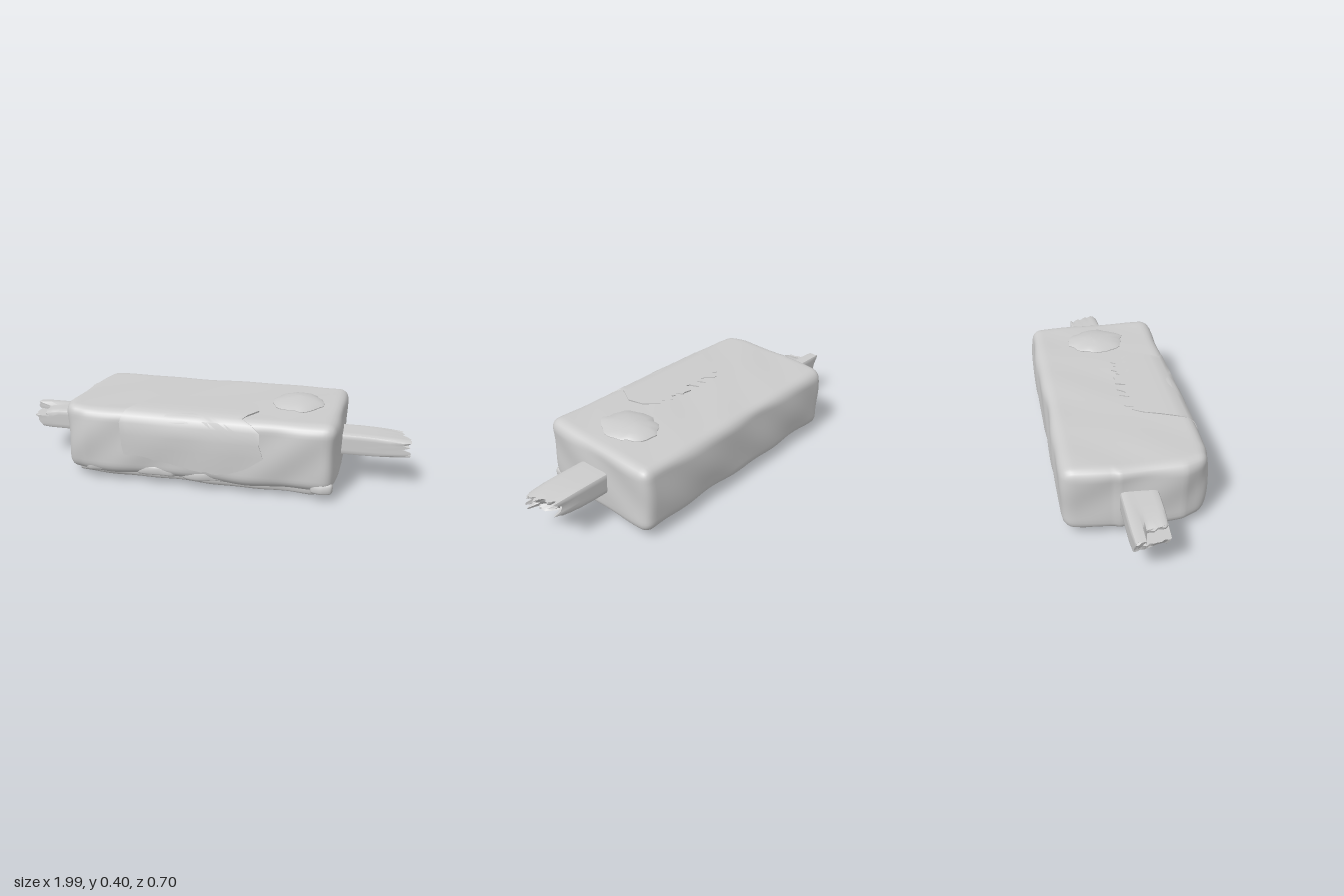
import * as THREE from 'three';
import { mergeVertices, toCreasedNormals } from 'three/addons/utils/BufferGeometryUtils.js';

const material = new THREE.MeshStandardMaterial({ color: 0xcccccc });
const shell = new THREE.MeshStandardMaterial({ color: 0xcccccc, side: THREE.DoubleSide });

// Smooth bumps, about -1..1
const bumps = (x, y, z) =>
  (Math.sin(x * 9 + z * 5 + 1) * Math.cos(z * 11 - y * 8) + Math.sin(x * 19 - y * 23 + z * 14) * 0.6) / 1.6;

// Jagged value, 0..1
const jag = (i) => {
  const s = Math.sin(i * 12.9898 + 4.1) * 43758.5453;
  return s - Math.floor(s);
};

// Subdivided box with rounded edges; rule(p, normal) then moves each vertex
function roughBlock(name, min, max, segs, radius, rule, crease) {
  const size = max.map((m, i) => m - min[i]);
  let geo = new THREE.BoxGeometry(...size, ...segs);
  geo.deleteAttribute('uv');
  geo.deleteAttribute('normal');
  geo = mergeVertices(geo);
  const pos = geo.attributes.position;
  const half = new THREE.Vector3(...size).multiplyScalar(0.5).subScalar(radius);
  const centre = new THREE.Vector3(...min).add(new THREE.Vector3(...max)).multiplyScalar(0.5);
  for (let i = 0; i < pos.count; i++) {
    const p = new THREE.Vector3().fromBufferAttribute(pos, i);
    const inner = p.clone().clamp(half.clone().negate(), half);
    const n = p.clone().sub(inner).normalize();
    p.copy(inner).addScaledVector(n, radius).add(centre);
    rule(p, n);
    pos.setXYZ(i, p.x, p.y, p.z);
  }
  geo.computeVertexNormals();
  const mesh = new THREE.Mesh(crease ? toCreasedNormals(geo, crease) : geo, material);
  mesh.name = name;
  return mesh;
}

// Surface through rows of points, each row an array of Vector3
function loft(name, rows, crease) {
  const cols = rows[0].length;
  const index = [];
  for (let r = 0; r < rows.length - 1; r++) {
    for (let c = 0; c < cols - 1; c++) {
      const a = r * cols + c;
      index.push(a, a + 1, a + cols, a + 1, a + cols + 1, a + cols);
    }
  }
  const geo = new THREE.BufferGeometry().setFromPoints(rows.flat());
  geo.setIndex(index);
  geo.computeVertexNormals();
  const mesh = new THREE.Mesh(toCreasedNormals(geo, crease), shell);
  mesh.name = name;
  return mesh;
}

// Linear interpolation through evenly spaced values
function sample(values, t) {
  const f = Math.min(t, 0.9999) * (values.length - 1);
  const i = Math.floor(f);
  return THREE.MathUtils.lerp(values[i], values[i + 1], f - i);
}

// Worn main block, with skewed ends and slightly bulging sides
function makeBody() {
  return roughBlock('body', [-0.68, 0.045, -0.335], [0.67, 0.372, 0.33], [68, 22, 36], 0.048, (p, n) => {
    const { x, y, z } = p;
    const top = Math.max(n.y, 0);
    p.addScaledVector(n, bumps(x, y, z) * (0.009 - 0.006 * top));
    // left end slants to the back, right end to the front
    if (x < -0.4) p.x += ((-0.4 - x) / 0.28) * (z < -0.1 ? (-0.1 - z) * 0.13 : -0.008);
    if (x > 0.4) p.x -= ((x - 0.4) / 0.27) * Math.max(z, 0) * 0.06;
    // worn front left corner
    const corner = Math.max(0, -x - 0.55) * Math.max(0, z - 0.2);
    p.x += corner * 2.2;
    p.z -= corner * 1.6;
    // sides fullest at mid height
    p.z += Math.sign(z) * 0.01 * Math.cos((y - 0.21) * 9) * Math.abs(n.z);
    // sagging lower edges at the ends
    if (y < 0.1 && Math.abs(x) > 0.5) p.y -= 0.012 * Math.cos(z * 5);
  });
}

// Thinner slab under the block
function makeBase() {
  return roughBlock('baseSlab', [-0.62, 0.008, -0.275], [0.57, 0.11, 0.283], [48, 8, 24], 0.014, (p, n) => {
    const { x, y, z } = p;
    p.addScaledVector(n, bumps(x * 1.3, y, z + 2) * 0.005);
    p.y += 0.008 * ((0.57 - x) / 1.19) * (n.y < 0 ? 1 : 0);
    p.z *= 0.96 + (y - 0.008) * 0.5;
  });
}

// Split stick through the block, splintered at both ends
function makeStick() {
  return roughBlock('stick', [-1, 0.152, -0.085], [1, 0.258, 0.085], [24, 8, 10], 0.016, (p, n) => {
    const { x, y, z } = p;
    const splinter = jag(Math.round(y * 75) * 7 + Math.round(z * 60) * 3);
    const outer = Math.max(0, Math.abs(x) - 0.8) / 0.2;
    if (x < 0) {
      // slanted break with a shorter upper half at the front
      const cut = Math.max(0, 0.235 - y) * 0.65 + (z + 0.085) * 0.2 + splinter * 0.015;
      p.x += outer * (cut + (z > -0.02 && y > 0.225 ? 0.07 : 0));
      p.y -= outer * (z > -0.02 && y > 0.23 ? 0.014 : 0);
      p.z -= 0.01 * Math.abs(x);
    } else {
      // hollow, toothed break
      const hollow = Math.max(0, 1 - Math.hypot((y - 0.2) / 0.055, (z + 0.02) / 0.07));
      p.x -= outer * (splinter * 0.06 + hollow * 0.08 + (z < 0 ? 0.025 : 0));
      p.y += outer * (0.205 - y) * 0.2;
      p.z += outer * 0.006;
    }
  }, 0.7);
}

// Cracked crust wrapped over the front upper edge
function makeCrust() {
  const profile = [[0.14, 0.346], [0.2, 0.349], [0.26, 0.349], [0.32, 0.343], [0.352, 0.329],
    [0.372, 0.3], [0.3775, 0.25], [0.378, 0.18], [0.377, 0.1], [0.377, 0.04]];
  const left = [-0.35, -0.36, -0.365, -0.37, -0.36, -0.35, -0.33, -0.3, -0.27, -0.24];
  const right = [0.26, 0.33, 0.31, 0.31, 0.27, 0.22, 0.24, 0.28, 0.26, 0.2];
  const lower = [0.02, 0.015, 0.01, -0.01, -0.015, -0.03, -0.035, -0.04, -0.02, 0.01];
  const count = 24;
  const rows = profile.map(([y, z], r) => {
    const row = [];
    for (let c = 0; c <= count; c++) {
      const t = c / count;
      const x = THREE.MathUtils.lerp(left[r], right[r], t);
      const dy = r === 0 ? sample(lower, t) + (jag(c) - 0.5) * 0.012 : 0;
      const dz = r === profile.length - 1 ? (jag(c + 40) - 0.5) * 0.06 : 0;
      row.push(new THREE.Vector3(x, y + dy, z + dz + (r < 4 ? bumps(x, y, 0.3) * 0.004 : 0)));
    }
    // broken side edges turn into the block
    const sink = (p, dx) => new THREE.Vector3(p.x + dx, p.y - (r > 4 ? 0.02 : 0), p.z - (r > 5 ? 0 : 0.025));
    return [sink(row[0], 0.004), ...row, sink(row[count], -0.004)];
  });
  const edge = (row, dy, dz) => row.map((p) => new THREE.Vector3(p.x, p.y + dy, p.z + dz));
  return loft('crust', [edge(rows[0], 0.004, -0.03), ...rows, edge(rows[rows.length - 1], -0.02, 0.005)], 0.6);
}

// Low ragged lump on top
function makeLump() {
  const rings = [[0.02, 0.403], [0.3, 0.4], [0.6, 0.393], [0.85, 0.385], [1, 0.376], [0.98, 0.35]];
  const sides = 28;
  const rows = rings.map(([k, y]) => {
    const row = [];
    for (let s = 0; s <= sides; s++) {
      const a = (s / sides) * Math.PI * 2;
      const ragged = 1 - jag(s % sides) * 0.17 * k * k;
      row.push(new THREE.Vector3(
        0.445 + Math.cos(a) * 0.135 * k * ragged,
        y + bumps(k * 0.2, a < 3 ? 0.1 : 0, 0.2) * 0.001,
        (1 - k) * -0.03 + Math.sin(a) * 0.158 * k * ragged,
      ));
    }
    return row.reverse();
  });
  return loft('topLump', rows, 0.6);
}

// Small broken flakes along the lower front edge
function makeFlakes() {
  const group = new THREE.Group();
  group.name = 'edgeFlakes';
  [[-0.47, 0.09, 0.075], [-0.2, 0.1, 0.075], [0.05, 0.12, 0.07], [0.6, 0.055, 0.065]].forEach(([x, w, y], i) => {
    group.add(roughBlock('flake', [x - w, y - 0.025, 0.28], [x + w, y + 0.03, 0.336], [10, 4, 3], 0.018, (p, n) => {
      p.addScaledVector(n, bumps(p.x * 2, p.y + i, p.z) * 0.008);
      p.z -= Math.abs(p.x - x) * 0.15;
    }));
  });
  return group;
}

export function createModel() {
  const model = new THREE.Group();
  model.name = 'wornBlockOnStick';
  model.add(makeBody(), makeBase(), makeStick(), makeCrust(), makeLump(), makeFlakes());
  return model;
}
